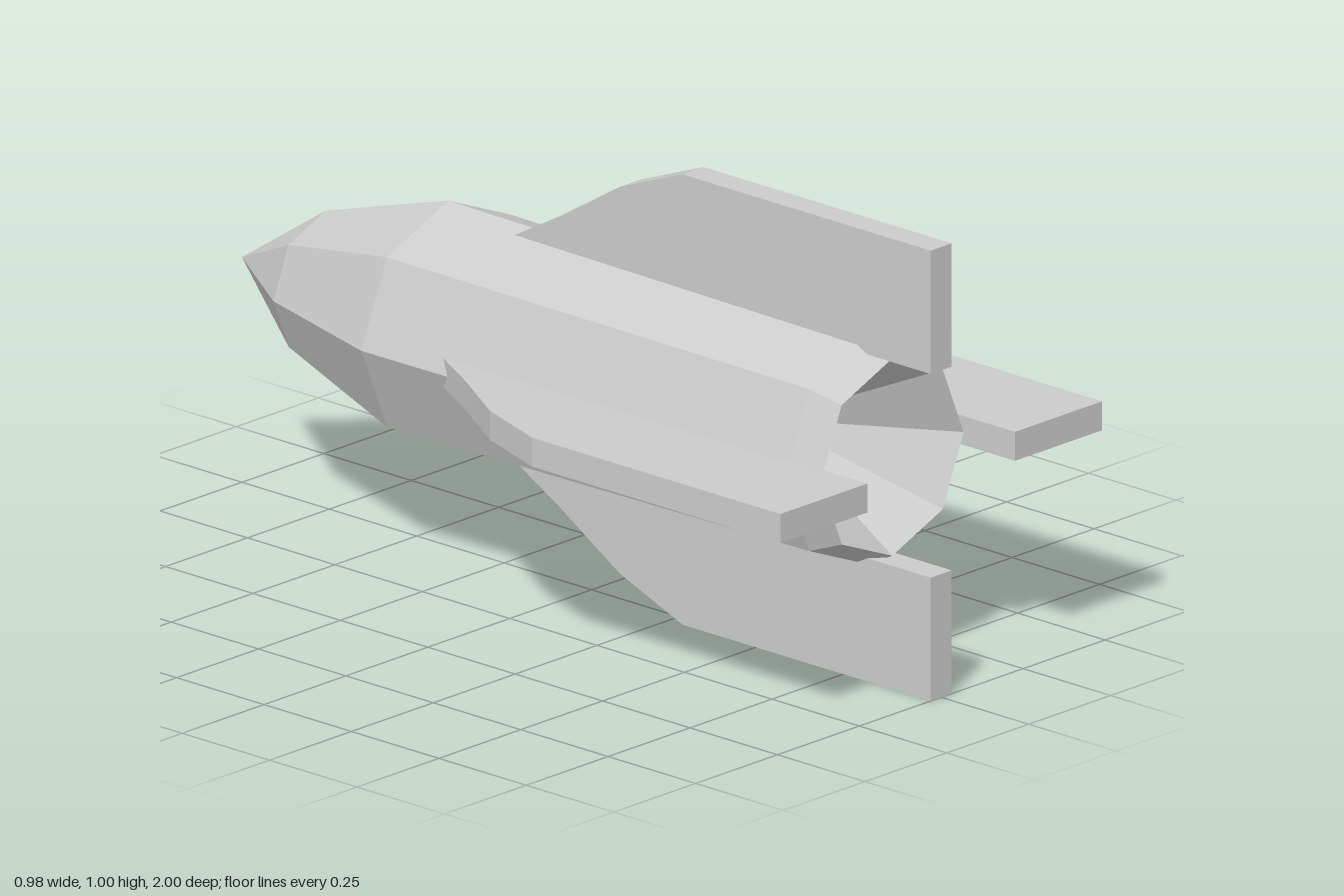
import * as THREE from 'three';

const CENTER_Y = 0.4975;

export function createModel() {
  const model = new THREE.Group();
  model.name = 'rocket';
  const material = new THREE.MeshStandardMaterial({ color: 0xcccccc, flatShading: true });

  // Eight-sided hull: nose tip, body, tapered tail and the hollow nozzle [radius, z]
  const profile = [
    [0, -1], [0.16, -0.76], [0.265, -0.41], [0.253, 0.79],
    [0.218, 0.86], [0.052, 0.59], [0, 0.59],
  ].map(([r, z]) => new THREE.Vector2(r, z));
  const hull = new THREE.Mesh(new THREE.LatheGeometry(profile, 8).rotateX(Math.PI / 2), material);
  hull.name = 'hull';
  hull.position.y = CENTER_Y;
  model.add(hull);

  // Swept fin plate, drawn as [radius, z] with a given span
  const makeFin = (span) => {
    const outline = [
      [0.225, 1], [0.225, -0.235], [0.255, -0.18], [0.322, -0.06],
      [0.427, 0.11], [span, 0.29], [span, 1],
    ].map(([r, z]) => new THREE.Vector2(r, -z));
    const geometry = new THREE.ExtrudeGeometry(new THREE.Shape(outline), {
      depth: 0.064, bevelEnabled: false,
    });
    return geometry.translate(0, 0, -0.032).rotateX(-Math.PI / 2);
  };

  // Four fins around the tail
  ['leftFin', 'topFin', 'rightFin', 'bottomFin'].forEach((name, i) => {
    const fin = new THREE.Mesh(makeFin(i % 2 ? 0.4975 : 0.491), material);
    fin.name = name;
    fin.position.y = CENTER_Y;
    fin.rotation.z = i * Math.PI / 2;
    model.add(fin);
  });

  return model;
}
